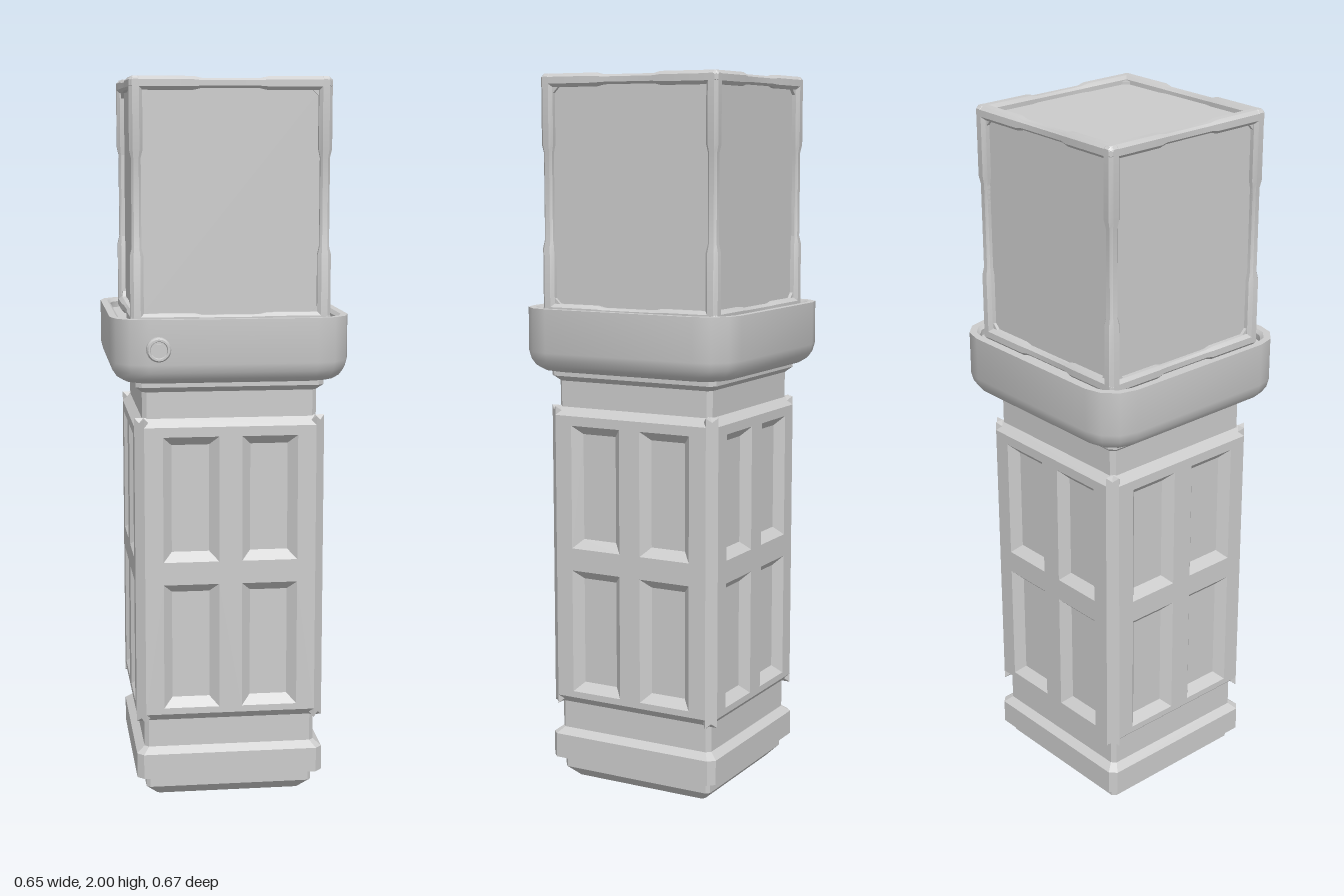
import * as THREE from 'three';
import { toCreasedNormals } from 'three/addons/utils/BufferGeometryUtils.js';

const material = new THREE.MeshStandardMaterial({ color: 0xcccccc });

function addMesh(parent, name, geometry) {
  const mesh = new THREE.Mesh(geometry, material);
  mesh.name = name;
  parent.add(mesh);
  return mesh;
}

// Stacks square rings with cut or rounded corners: each section is [y, half width, corner size]
function loftSquare(sections, cornerSteps = 1, crease = 0.3) {
  const rings = sections.map(([y, half, corner]) => {
    const ring = [];
    for (let k = 0; k < 4; k++) {
      const mid = (k + 0.5) * Math.PI / 2;
      const cx = Math.sign(Math.cos(mid)) * (half - corner);
      const cz = -Math.sign(Math.sin(mid)) * (half - corner);
      for (let s = 0; s <= cornerSteps; s++) {
        const a = (k + s / cornerSteps) * Math.PI / 2;
        ring.push([cx + corner * Math.cos(a), y, cz - corner * Math.sin(a)]);
      }
    }
    return ring;
  });
  const n = rings[0].length;
  const positions = [];
  const tri = (a, b, c) => positions.push(...a, ...b, ...c);
  for (let i = 0; i < rings.length - 1; i++) {
    for (let j = 0; j < n; j++) {
      const k = (j + 1) % n;
      tri(rings[i][j], rings[i][k], rings[i + 1][k]);
      tri(rings[i][j], rings[i + 1][k], rings[i + 1][j]);
    }
  }
  const first = rings[0], last = rings[rings.length - 1];
  for (let j = 1; j < n - 1; j++) {
    tri(first[0], first[j + 1], first[j]);
    tri(last[0], last[j], last[j + 1]);
  }
  const geometry = new THREE.BufferGeometry();
  geometry.setAttribute('position', new THREE.Float32BufferAttribute(positions, 3));
  geometry.computeVertexNormals();
  return toCreasedNormals(geometry, crease);
}

// Rectangle outline with optional cut corners
function rectPath(PathType, x0, x1, y0, y1, cut = 0) {
  const points = cut
    ? [[x0 + cut, y0], [x1 - cut, y0], [x1, y0 + cut], [x1, y1 - cut],
      [x1 - cut, y1], [x0 + cut, y1], [x0, y1 - cut], [x0, y0 + cut]]
    : [[x0, y0], [x1, y0], [x1, y1], [x0, y1]];
  return new PathType(points.map(([x, y]) => new THREE.Vector2(x, y)));
}

// Grip side: bevelled plate with four sloped window recesses
function gripPlate() {
  const shape = rectPath(THREE.Shape, -0.237, 0.237, 0.252, 1.065);
  for (const [x0, x1] of [[-0.186, -0.032], [0.032, 0.186]]) {
    for (const [y0, y1] of [[0.27, 0.624], [0.688, 1.038]]) {
      shape.holes.push(rectPath(THREE.Path, x0, x1, y0, y1));
    }
  }
  const bevel = 0.025;
  const geometry = new THREE.ExtrudeGeometry(shape, {
    depth: 0, bevelEnabled: true, bevelThickness: bevel, bevelSize: bevel, bevelSegments: 1,
  });
  return geometry.translate(0, 0, 0.262 - bevel);
}

// Cage bar along y, slimmer around its middle
function cageBar(halfLength, waist) {
  const end = [0.018, 0.009], slim = [0.013, 0.006];
  return loftSquare([
    [-halfLength, 0.01, 0.004], [-halfLength + 0.009, ...end], [-waist, ...end],
    [-waist + 0.022, ...slim], [waist - 0.022, ...slim],
    [waist, ...end], [halfLength - 0.009, ...end], [halfLength, 0.01, 0.004],
  ]);
}

// Thin frame around one panel, with cut inner corners
function panelFrame(halfHeight) {
  const shape = rectPath(THREE.Shape, -0.25, 0.25, -halfHeight, halfHeight);
  shape.holes.push(rectPath(THREE.Path, -0.24, 0.24, -halfHeight + 0.01, halfHeight - 0.01, 0.025));
  return new THREE.ExtrudeGeometry(shape, { depth: 0.01, bevelEnabled: false });
}

export function createModel() {
  const root = new THREE.Group();
  root.name = 'handheldLantern';
  const body = new THREE.Group();
  body.name = 'body';
  body.position.z = -0.0115;
  root.add(body);

  // Foot, base ring and lower neck
  addMesh(body, 'base', loftSquare([
    [0, 0.205, 0.008], [0.03, 0.235, 0.01], [0.065, 0.235, 0.01], [0.065, 0.262, 0.018],
    [0.135, 0.262, 0.018], [0.152, 0.24, 0.012], [0.25, 0.24, 0.012],
  ]));

  // Grip: core forming the recess floors, and four windowed plates
  const grip = new THREE.Group();
  grip.name = 'grip';
  body.add(grip);
  addMesh(grip, 'gripCore', loftSquare([[0.229, 0.237, 0.005], [1.088, 0.237, 0.005]]));
  const plate = gripPlate();
  for (let i = 0; i < 4; i++) {
    addMesh(grip, 'gripPlate', plate).rotation.y = i * Math.PI / 2;
  }

  // Upper neck flaring into the collar
  addMesh(body, 'upperNeck', loftSquare([
    [1.07, 0.24, 0.012], [1.16, 0.24, 0.012], [1.175, 0.258, 0.016], [1.21, 0.258, 0.016],
  ]));

  // Rounded collar with a shallow tray on top
  addMesh(body, 'collar', loftSquare([
    [1.188, 0.268, 0.06], [1.192, 0.288, 0.07], [1.204, 0.307, 0.083], [1.222, 0.319, 0.092],
    [1.245, 0.325, 0.097], [1.366, 0.325, 0.097], [1.366, 0.306, 0.08],
    [1.357, 0.297, 0.072], [1.34, 0.297, 0.072],
  ], 3, 0.62));

  // Lamp head: panels inside a cage of notched bars
  const head = new THREE.Group();
  head.name = 'lampHead';
  head.position.y = 1.67;
  body.add(head);
  addMesh(head, 'panels', new THREE.BoxGeometry(0.5, 0.618, 0.5));
  const post = cageBar(0.33, 0.14), rail = cageBar(0.271, 0.1);
  const sideFrame = panelFrame(0.309), endFrame = panelFrame(0.25);
  for (let i = 0; i < 4; i++) {
    const side = new THREE.Group();
    side.name = 'cageSide';
    side.rotation.y = i * Math.PI / 2;
    head.add(side);
    addMesh(side, 'cornerPost', post).position.set(0.253, 0, 0.253);
    for (const y of [-0.312, 0.312]) {
      const bar = addMesh(side, 'rail', rail);
      bar.position.set(0, y, 0.253);
      bar.rotation.z = Math.PI / 2;
    }
    addMesh(side, 'panelFrame', sideFrame).position.z = 0.249;
  }
  for (const s of [-1, 1]) {
    const frame = addMesh(head, 'endPanelFrame', endFrame);
    frame.rotation.x = -s * Math.PI / 2;
    frame.position.y = s * 0.308;
  }

  // Push button with a raised bar in a dished face
  const button = new THREE.Group();
  button.name = 'button';
  button.position.set(-0.202, 1.288, 0.3);
  root.add(button);
  const profile = [[0.033, 0], [0.033, 0.03], [0.029, 0.0365], [0.024, 0.0365], [0.022, 0.03], [0, 0.03]]
    .map(([r, y]) => new THREE.Vector2(r, y));
  const cap = new THREE.LatheGeometry(profile, 20);
  cap.rotateX(Math.PI / 2);
  addMesh(button, 'buttonCap', toCreasedNormals(cap, 0.5));
  addMesh(button, 'buttonBar', new THREE.BoxGeometry(0.014, 0.032, 0.008)).position.z = 0.032;

  return root;
}
